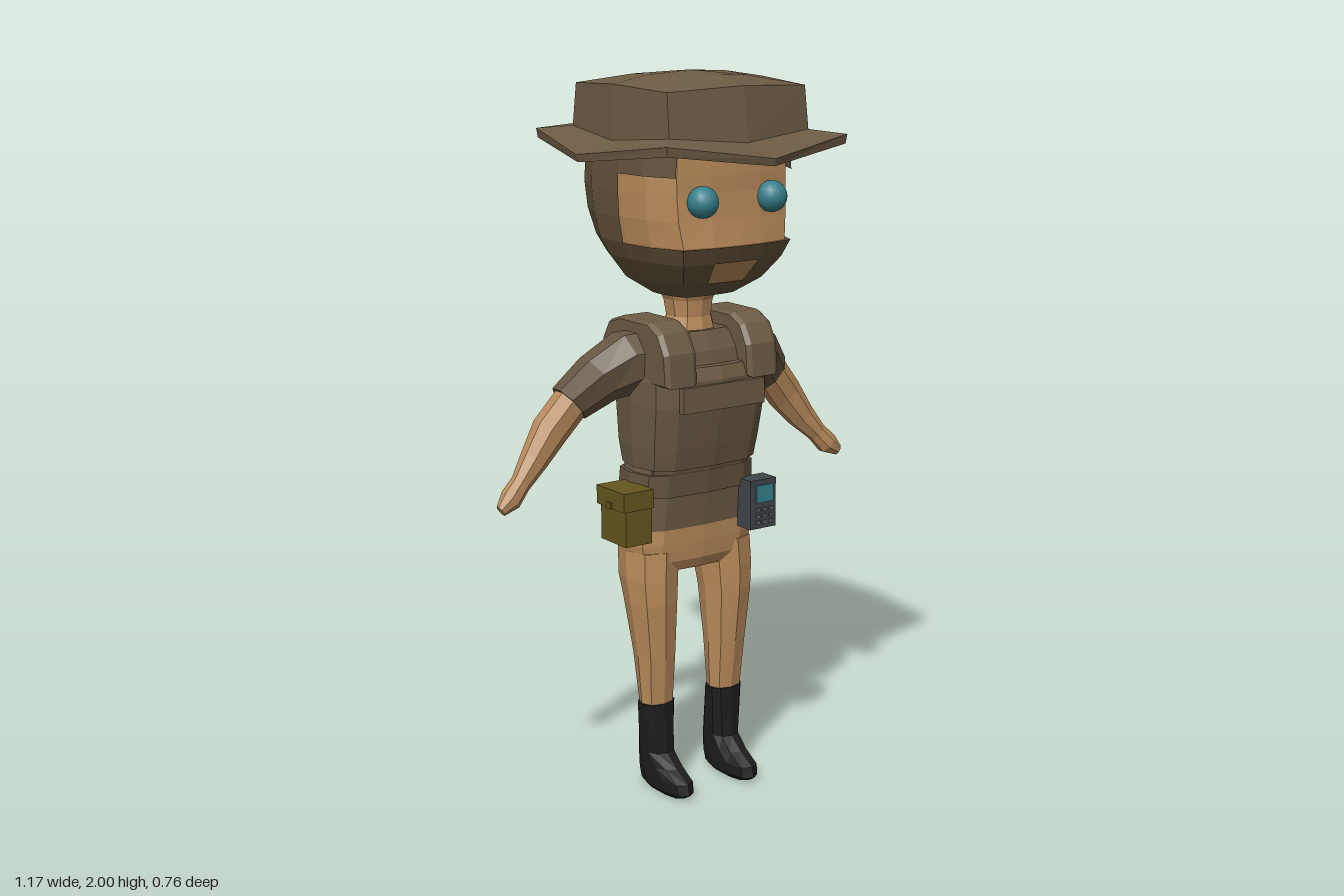
import * as THREE from 'three';

const mat = (name, color, double) => {
  const m = new THREE.MeshStandardMaterial({ color });
  m.name = name;
  if (double) m.side = THREE.DoubleSide;
  return m;
};

// Faceted skin over rings of [x, y, z] points, listed from bottom to top
function loft(rings, { skip = () => false, caps = true } = {}) {
  const pos = [], n = rings[0].length;
  const tri = (a, b, c) => pos.push(...a, ...b, ...c);
  for (let j = 0; j < rings.length - 1; j++) {
    for (let i = 0; i < n; i++) {
      if (skip(i, j)) continue;
      const k = (i + 1) % n, [lo, hi] = [rings[j], rings[j + 1]];
      tri(lo[i], lo[k], hi[k]);
      tri(lo[i], hi[k], hi[i]);
    }
  }
  if (caps) {
    [rings[0], rings[rings.length - 1]].forEach((r, end) => {
      const mid = [0, 1, 2].map(a => r.reduce((s, p) => s + p[a], 0) / n);
      r.forEach((p, i) => {
        const q = r[(i + 1) % n];
        end ? tri(mid, p, q) : tri(mid, q, p);
      });
    });
  }
  const g = new THREE.BufferGeometry();
  g.setAttribute('position', new THREE.Float32BufferAttribute(pos, 3));
  g.computeVertexNormals();
  return g;
}

// Horizontal rounded section; a smaller p is more square
function section([y, cx, rx, zf, zb], n, p) {
  const pw = v => Math.sign(v) * Math.pow(Math.abs(v), p);
  return Array.from({ length: n }, (_, i) => {
    const t = (i / n) * Math.PI * 2;
    return [cx + rx * pw(Math.sin(t)), y, (zf + zb) / 2 + ((zf - zb) / 2) * pw(Math.cos(t))];
  });
}
const body = (rows, n = 12, p = 0.6) => loft(rows.map(r => section(r, n, p)));

// Limb along points [x, y, z, radius] lying mostly in the xy plane
function limb(pts, n = 8, flat = 0.8) {
  return loft(pts.map(([x, y, z, r], i) => {
    const a = pts[Math.max(i - 1, 0)], b = pts[Math.min(i + 1, pts.length - 1)];
    const d = new THREE.Vector2(b[0] - a[0], b[1] - a[1]).normalize();
    return Array.from({ length: n }, (_, k) => {
      const t = ((k + 0.5) / n) * Math.PI * 2, s = Math.sin(t) * r;
      return [x + d.y * s, y - d.x * s, z + Math.cos(t) * r * flat];
    });
  }));
}

// Mirrored copy across x with corner order restored
function mirror(geo) {
  const g = geo.clone(), p = g.attributes.position;
  const get = i => [-p.getX(i), p.getY(i), p.getZ(i)];
  for (let i = 0; i < p.count; i += 3) {
    const b = get(i + 1), c = get(i + 2);
    p.setXYZ(i, ...get(i));
    p.setXYZ(i + 1, ...c);
    p.setXYZ(i + 2, ...b);
  }
  g.computeVertexNormals();
  return g;
}

export function createModel() {
  const root = new THREE.Group();
  root.name = 'figure';
  const skin = mat('skin', 0xb98b5b), khaki = mat('khaki', 0x6d5b44), hair = mat('hair', 0x65533c, true);
  const shirt = mat('shirt', 0x665540), boot = mat('boot', 0x1d1d1d), eye = mat('eye', 0x36808c);
  const canvas = mat('pouch canvas', 0x66551f), slate = mat('slate', 0x3f464a), keys = mat('keys', 0x5b6468);

  const add = (name, geo, material, x = 0, y = 0, z = 0, parent = root) => {
    const m = new THREE.Mesh(geo, material);
    m.name = name;
    m.position.set(x, y, z);
    parent.add(m);
    return m;
  };
  const pair = (name, geo, material) => {
    add(name + 'Left', geo, material);
    add(name + 'Right', mirror(geo), material);
  };
  const box = (...s) => new THREE.BoxGeometry(...s);

  // Head: inner skin and an outer hair and beard shell, open at face and mouth
  const half = [[0, 1], [0.35, 0.99], [0.78, 0.92], [0.95, 0.5], [1, 0.06], [0.98, -0.4], [0.8, -0.74], [0.42, -0.94], [0, -1]];
  const outline = [...half, ...half.slice(1, 8).reverse().map(([x, z]) => [-x, z])];
  const rows = [
    [1.41, 0.10, 0.10, 0.08], [1.455, 0.165, 0.165, 0.17], [1.515, 0.205, 0.215, 0.215], [1.56, 0.225, 0.235, 0.25],
    [1.63, 0.237, 0.225, 0.285], [1.70, 0.24, 0.22, 0.30], [1.745, 0.24, 0.22, 0.295], [1.84, 0.235, 0.215, 0.27],
  ];
  const headRings = inset => rows.map(([y, w, f, b]) =>
    outline.map(([x, z]) => [x * (w - inset), y, z * ((z > 0 ? f : b) - inset)]));
  add('face', loft(headRings(0.013)), skin);
  const open = (i, j) => {
    const c = i < 8 ? i : 15 - i;
    return (j >= 3 && j <= 5 && c < 4) || (j === 6 && c < 2) || (j === 1 && c < 1);
  };
  add('hairAndBeard', loft(headRings(0), { skip: open, caps: false }), hair);
  for (const s of [-1, 1]) add(s > 0 ? 'eyeLeft' : 'eyeRight', new THREE.SphereGeometry(0.042, 16, 12), eye, s * 0.112, 1.68, 0.215);
  add('neck', body([[1.27, 0, 0.085, 0.07, -0.09], [1.345, 0, 0.062, 0.055, -0.065], [1.39, 0, 0.068, 0.06, -0.075], [1.45, 0, 0.095, 0.085, -0.11]], 10, 0.9), skin);

  // Hat: wavy eight-sided brim and a boxy crown in one skin
  const hatRing = (side, cx, cz, front, back, ym, yc, yb) => [
    [0, ym, front], [cx, yc, cz], [side, ym, 0], [cx, yc, -cz],
    [0, yb, -back], [-cx, yc, -cz], [-side, ym, 0], [-cx, yc, cz]];
  add('hat', loft([
    hatRing(0.235, 0.215, 0.21, 0.235, 0.25, 1.80, 1.815, 1.82),
    hatRing(0.355, 0.287, 0.305, 0.37, 0.375, 1.78, 1.815, 1.82),
    hatRing(0.36, 0.29, 0.308, 0.376, 0.38, 1.80, 1.84, 1.845),
    hatRing(0.25, 0.225, 0.225, 0.258, 0.265, 1.83, 1.85, 1.86),
    hatRing(0.246, 0.222, 0.212, 0.24, 0.255, 1.975, 1.965, 1.97),
    hatRing(0.12, 0.11, 0.105, 0.12, 0.125, 1.995, 1.99, 1.99),
    hatRing(0.02, 0.02, 0.02, 0.02, 0.02, 2, 2, 2),
  ]), khaki);

  // Torso: shirt, vest, straps and chest pocket
  add('shirt', body([[0.92, 0, 0.175, 0.09, -0.115], [1.18, 0, 0.18, 0.13, -0.125], [1.26, 0, 0.17, 0.105, -0.12], [1.31, 0, 0.11, 0.07, -0.09]]), shirt);
  add('vest', body([
    [0.94, 0, 0.183, 0.11, -0.122], [1.0, 0, 0.19, 0.125, -0.135], [1.12, 0, 0.198, 0.15, -0.142],
    [1.19, 0, 0.2, 0.155, -0.147], [1.225, 0, 0.19, 0.14, -0.142],
  ]), khaki);
  add('chestPocket', box(0.27, 0.07, 0.02), khaki, 0, 1.145, 0.152);
  const strap = new THREE.Shape([[0.15, 1.19], [0.143, 1.27], [0.115, 1.32], [0.07, 1.343], [-0.06, 1.343], [-0.115, 1.325], [-0.142, 1.28], [-0.147, 1.19]]
    .map(([z, y]) => new THREE.Vector2(-z, y)));
  const strapGeo = new THREE.ExtrudeGeometry(strap, { depth: 0.075, bevelEnabled: true, bevelSize: 0.008, bevelThickness: 0.014, bevelSegments: 1 });
  strapGeo.rotateY(Math.PI / 2).translate(0.098, 0, 0);
  pair('shoulderStrap', strapGeo, khaki);

  // Waist and belt
  add('waist', body([[0.765, 0, 0.196, 0.072, -0.122], [0.85, 0, 0.188, 0.078, -0.118], [0.945, 0, 0.178, 0.088, -0.112]]), khaki);
  add('belt', body([[0.86, 0, 0.194, 0.086, -0.125], [0.925, 0, 0.19, 0.092, -0.122]]), shirt);

  // Arms with short sleeves
  pair('sleeve', limb([[0.13, 1.23, 0, 0.095], [0.2, 1.23, -0.015, 0.092], [0.27, 1.19, -0.045, 0.078], [0.342, 1.125, -0.08, 0.063]]), shirt);
  pair('forearm', limb([[0.33, 1.137, -0.075, 0.055], [0.40, 1.055, -0.087, 0.054], [0.455, 0.985, -0.08, 0.042], [0.505, 0.93, -0.068, 0.03], [0.54, 0.893, -0.062, 0.033], [0.575, 0.868, -0.055, 0.017]]), skin);

  // Hips, legs and boots
  add('hips', body([[0.64, 0, 0.15, 0.05, -0.09], [0.67, 0, 0.192, 0.064, -0.118], [0.72, 0, 0.2, 0.068, -0.122], [0.785, 0, 0.19, 0.07, -0.118]]), skin);
  pair('leg', body([
    [0.24, 0.117, 0.047, 0.04, -0.036], [0.4, 0.121, 0.055, 0.056, -0.058], [0.55, 0.127, 0.067, 0.066, -0.085],
    [0.62, 0.127, 0.073, 0.066, -0.105], [0.7, 0.122, 0.075, 0.063, -0.115],
  ], 8, 0.8), skin);
  pair('boot', body([
    [0, 0.112, 0.028, 0.13, -0.04], [0.015, 0.112, 0.04, 0.156, -0.057], [0.045, 0.112, 0.043, 0.15, -0.064],
    [0.075, 0.112, 0.043, 0.095, -0.062], [0.11, 0.113, 0.044, 0.05, -0.058], [0.255, 0.117, 0.053, 0.044, -0.04],
  ], 10, 0.8), boot);

  // Belt pouches: body, overhanging flap and button, flap facing outward on x
  const pouch = (name, side, x, y, z, w, h, d) => {
    const g = new THREE.Group();
    g.name = name;
    g.position.set(x, y, z);
    root.add(g);
    add('pouchBody', box(w, h, d), canvas, 0, 0, 0, g);
    add('pouchFlap', box(w + 0.012, h * 0.35, d + 0.012), canvas, side * 0.004, h * 0.34, 0, g);
    add('pouchButton', box(0.008, 0.018, 0.018), canvas, side * (w / 2 + 0.012), h * 0.22, 0, g);
  };
  pouch('leftPouch', 1, 0.212, 0.82, -0.088, 0.045, 0.115, 0.08);
  pouch('rightPouch', -1, -0.225, 0.82, 0.02, 0.085, 0.15, 0.12);

  // Handheld radio clipped to the front of the belt
  const radio = new THREE.Group();
  radio.name = 'radio';
  radio.position.set(0.162, 0.81, 0.095);
  root.add(radio);
  add('radioCase', box(0.088, 0.14, 0.06), slate, 0, 0, 0, radio);
  add('radioScreen', box(0.058, 0.05, 0.006), eye, 0.004, 0.03, 0.031, radio);
  for (let r = 0; r < 3; r++) {
    for (let c = -1; c <= 1; c++) add('radioKey', box(0.014, 0.01, 0.006), keys, 0.004 + c * 0.022, -0.016 - r * 0.018, 0.031, radio);
  }
  return root;
}
